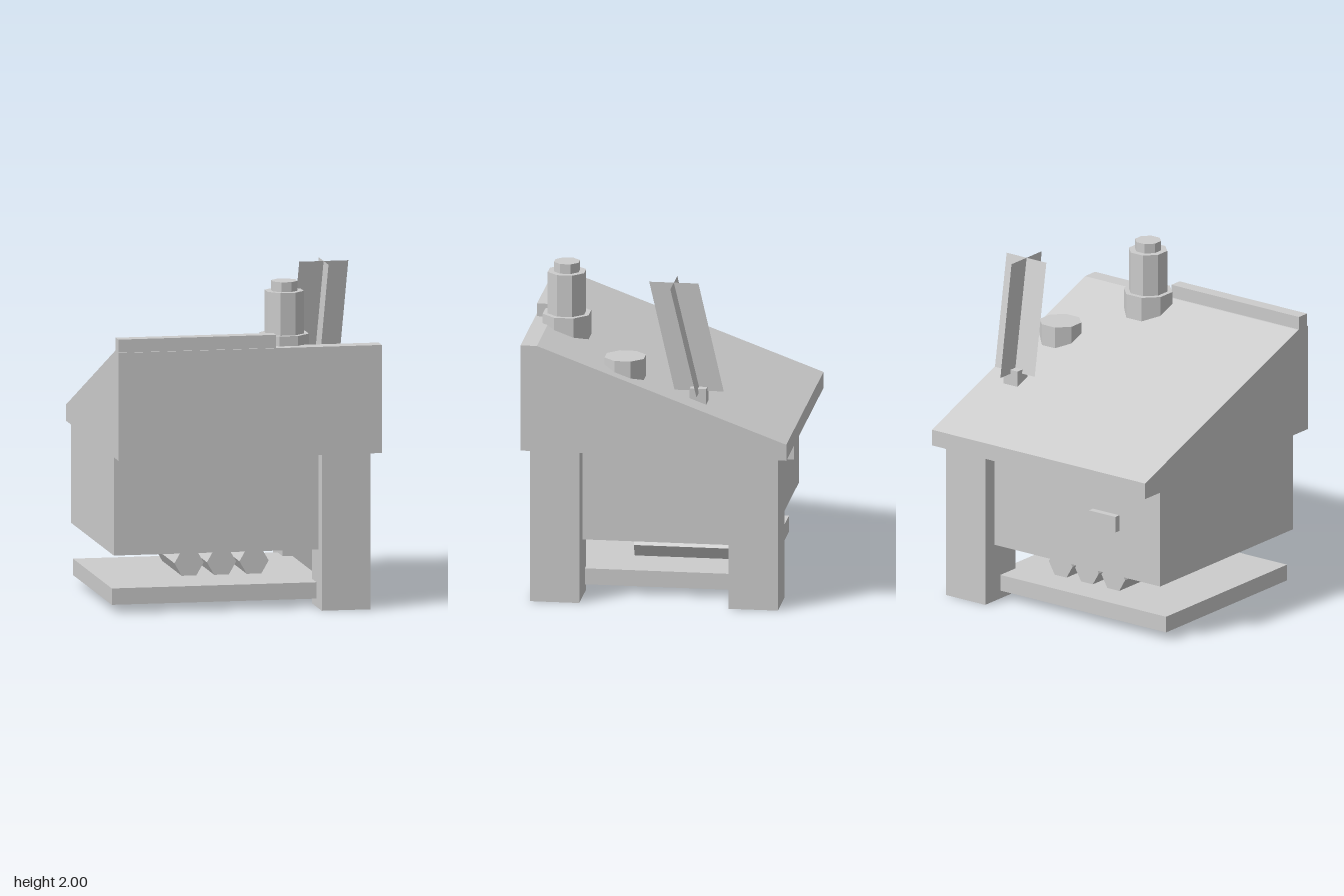
import * as THREE from 'three';

export function createModel() {
  const group = new THREE.Group();
  const grey = new THREE.MeshStandardMaterial({ color: 0xcccccc });
  grey.name = 'grey';
  grey.flatShading = true;
  grey.side = THREE.DoubleSide;

  const add = (name, geometry) => {
    const mesh = new THREE.Mesh(geometry, grey);
    mesh.name = name;
    group.add(mesh);
    return mesh;
  };

  // Box given by its lower and upper limits on each axis
  const box = (name, [x0, x1], [y0, y1], [z0, z1]) =>
    add(name, new THREE.BoxGeometry(x1 - x0, y1 - y0, z1 - z0))
      .position.set((x0 + x1) / 2, (y0 + y1) / 2, (z0 + z1) / 2);

  // Upright octagonal prism with its flats facing the axes
  const octagon = (name, x, z, y0, y1, apothem) => {
    const r = apothem / Math.cos(Math.PI / 8);
    const geometry = new THREE.CylinderGeometry(r, r, y1 - y0, 8).rotateY(Math.PI / 8);
    add(name, geometry).position.set(x, (y0 + y1) / 2, z);
  };

  // Sloping desk top: side profile swept across the width
  const profile = new THREE.Shape([
    [-0.81, 0.96], [0.81, 0.96], [0.81, 1.06], [-0.71, 1.62], [-0.81, 1.62],
  ].map(([u, y]) => new THREE.Vector2(u, y)));
  add('deskTop', new THREE.ExtrudeGeometry(profile, { depth: 1.62, bevelEnabled: false })
    .rotateY(Math.PI / 2).translate(-0.81, 0, 0));

  // Cabinet, shelf and legs
  box('cabinet', [-0.81, 0.61], [0.36, 0.96], [-0.66, 0.66]);
  box('shelf', [-0.81, 0.51], [0.05, 0.15], [-0.6, 0.6]);
  box('frontLeg', [0.45, 0.75], [0, 0.96], [0.46, 0.76]);
  box('backLeg', [0.45, 0.75], [0, 0.96], [-0.75, -0.45]);
  box('drawerHandle', [-0.5, -0.3], [0.65, 0.75], [-0.7, -0.66]);
  box('topLedge', [-0.81, 0.16], [1.62, 1.7], [0.72, 0.8]);

  // Rolled scrolls on the shelf
  for (const x of [-0.255, -0.055, 0.145]) {
    const scroll = new THREE.CylinderGeometry(0.09, 0.09, 0.6, 6)
      .rotateY(Math.PI / 2).rotateX(Math.PI / 2);
    add('scroll', scroll).position.set(x, 0.229, -0.1);
  }

  // Stepped candle and inkwell
  octagon('candleBase', 0.25, 0.605, 1.48, 1.68, 0.14);
  octagon('candleBody', 0.25, 0.605, 1.68, 1.94, 0.111);
  octagon('candleTip', 0.25, 0.605, 1.94, 2, 0.075);
  octagon('inkwell', 0.605, 0.2, 1.36, 1.52, 0.12);

  // Quill: two crossed leaning vanes on a small stub
  box('quillStub', [0.55, 0.655], [1.22, 1.345], [-0.3, -0.2]);
  const vane = (name, corners) => {
    const geometry = new THREE.BufferGeometry();
    geometry.setAttribute('position', new THREE.Float32BufferAttribute(corners.flat(), 3));
    geometry.setIndex([0, 1, 2, 0, 2, 3]);
    geometry.computeVertexNormals();
    add(name, geometry);
  };
  vane('quillVaneAcross', [
    [0.453, 1.32, -0.255], [0.755, 1.32, -0.255], [0.785, 2, -0.1], [0.483, 2, -0.1],
  ]);
  vane('quillVaneAlong', [
    [0.603, 1.32, -0.1], [0.603, 1.32, -0.4], [0.633, 2, -0.25], [0.633, 2, 0.05],
  ]);

  return group;
}
